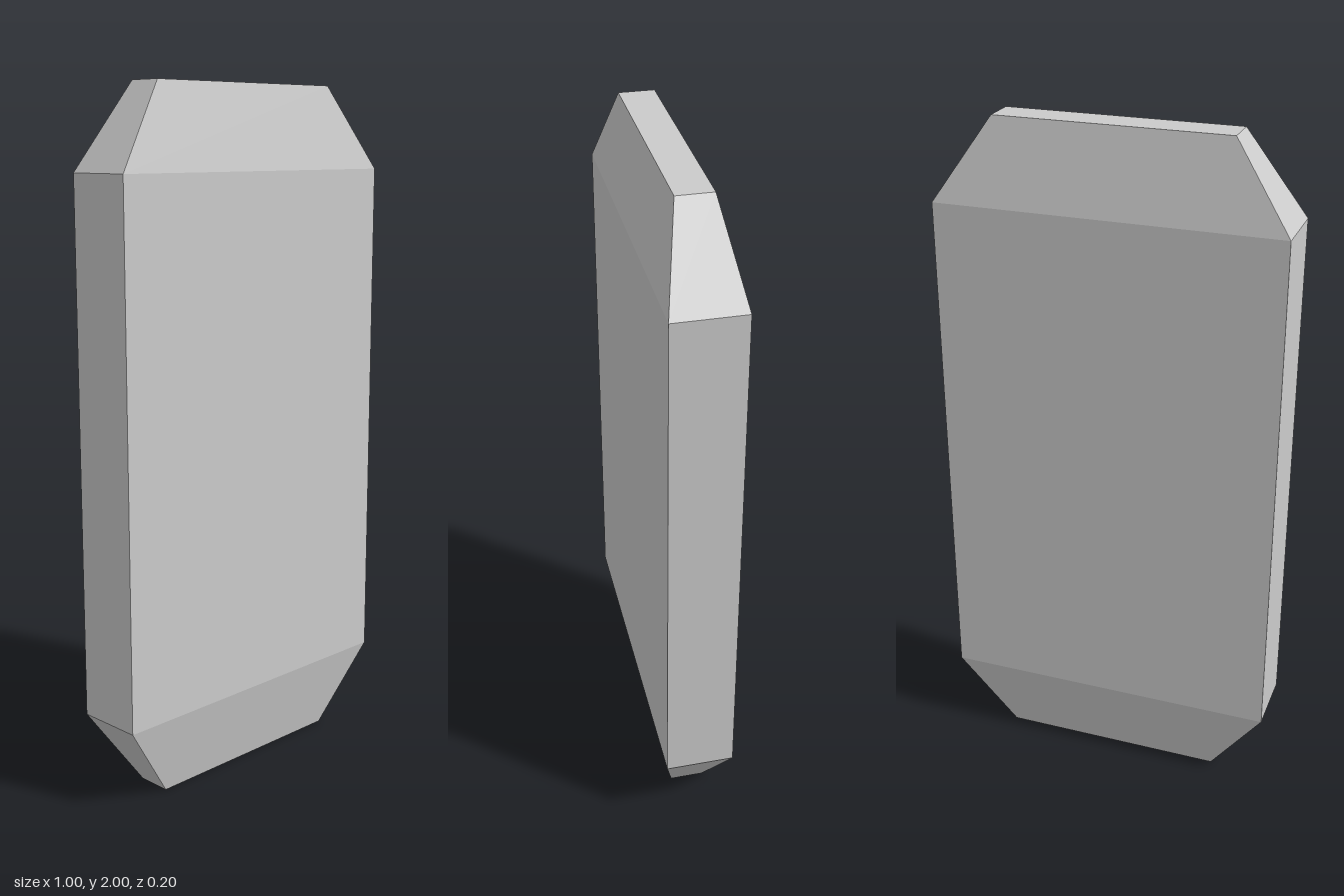
import * as THREE from 'three';

// Cross-sections from bottom to top: height, half width, half depth
const SECTIONS = [
  [0, 0.335, 0.05],
  [0.24, 0.5, 0.1],
  [1.76, 0.5, 0.1],
  [2, 0.335, 0.05],
];

export function createModel() {
  const model = new THREE.Group();
  model.name = 'bevelledSlab';

  // A box with three height segments, each ring of vertices fitted to its section
  const geometry = new THREE.BoxGeometry(2, 3, 2, 1, 3, 1);
  const position = geometry.attributes.position;
  for (let i = 0; i < position.count; i++) {
    const [y, halfWidth, halfDepth] = SECTIONS[Math.round(position.getY(i) + 1.5)];
    position.setXYZ(
      i,
      Math.sign(position.getX(i)) * halfWidth,
      y,
      Math.sign(position.getZ(i)) * halfDepth,
    );
  }

  // Faceted shading keeps the tapered ends crisp
  const flat = geometry.toNonIndexed();
  flat.computeVertexNormals();
  const material = new THREE.MeshStandardMaterial({ color: 0xcccccc, flatShading: true });
  const slab = new THREE.Mesh(flat, material);
  slab.name = 'slab';
  model.add(slab);
  return model;
}
